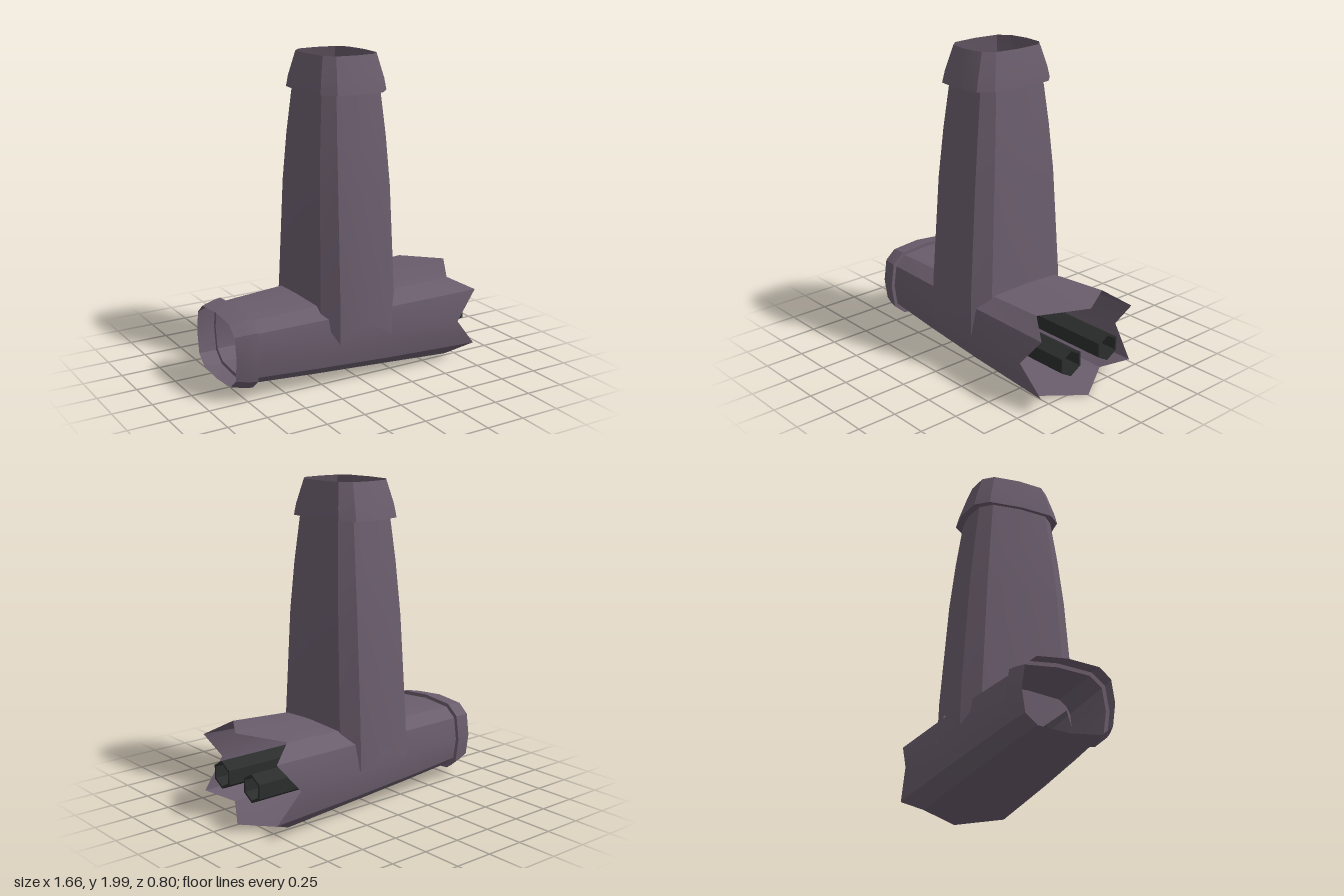
import * as THREE from 'three';
import { toCreasedNormals } from 'three/addons/utils/BufferGeometryUtils.js';

const shell = new THREE.MeshStandardMaterial({ color: 0x6a5d6c, side: THREE.DoubleSide });
shell.name = 'dusty purple shell';
const dark = new THREE.MeshStandardMaterial({ color: 0x2b2d2c, side: THREE.DoubleSide });
dark.name = 'dark pipe';

// Quarter of the unit cross-section, mirrored to twelve points
const Q = [[1, 0], [0.92, 0.68], [0.64, 0.93]];
const SECTION = [
  ...Q, [0, 1], [-0.64, 0.93], [-0.92, 0.68],
  [-1, 0], [-0.92, -0.68], [-0.64, -0.93], [0, -1], [0.64, -0.93], [0.92, -0.68],
];

// Open loft along y; rings are [height, half x, half z], heights may be one per point
function loft(name, rings) {
  const pos = [], idx = [], n = SECTION.length;
  rings.forEach(([h, b, a], j) => {
    SECTION.forEach(([x, z], i) => {
      pos.push(x * b, Array.isArray(h) ? h[i] : h, z * a);
      if (j === rings.length - 1) return;
      const p = j * n + i, q = j * n + (i + 1) % n;
      idx.push(p, p + n, q, q, p + n, q + n);
    });
  });
  const geo = new THREE.BufferGeometry();
  geo.setAttribute('position', new THREE.Float32BufferAttribute(pos, 3));
  geo.setIndex(idx);
  const mesh = new THREE.Mesh(toCreasedNormals(geo, 0.5), shell);
  mesh.name = name;
  return mesh;
}

// Hollow six-sided pipe running up y
function hexPipe(name, length) {
  const ring = (r) => Array.from({ length: 6 }, (_, i) =>
    new THREE.Vector2(r * Math.cos(i * Math.PI / 3), r * Math.sin(i * Math.PI / 3)));
  const shape = new THREE.Shape(ring(0.088));
  shape.holes.push(new THREE.Path(ring(0.073)));
  const geo = new THREE.ExtrudeGeometry(shape, { depth: length, bevelEnabled: false });
  geo.rotateX(-Math.PI / 2);
  const mesh = new THREE.Mesh(geo, dark);
  mesh.name = name;
  return mesh;
}

// Jagged broken edge: repeating heights around the section
const jag = (pattern) => SECTION.map((_, i) => pattern[i % pattern.length]);

export function createModel() {
  const model = new THREE.Group();

  // Upright branch with torn lower edge and a flared collar on top
  const upright = new THREE.Group();
  upright.name = 'uprightBranch';
  upright.add(
    loft('uprightShell', [
      [jag([0.23, 0.45, 0.29, 0.41, 0.29, 0.45]), 0.288, 0.397],
      [0.55, 0.284, 0.389],
      [1.2, 0.266, 0.34],
      [1.5, 0.247, 0.305],
      [1.78, 0.22, 0.265],
    ]),
    loft('uprightCollar', [
      [1.78, 0.22, 0.265],
      [1.78, 0.245, 0.31],
      [1.85, 0.236, 0.292],
      [2, 0.2, 0.24],
    ]),
  );

  // Lying main tube, broken at the +x end, collar at the -x end
  const main = new THREE.Group();
  main.name = 'mainTube';
  main.add(
    loft('mainShell', [
      [jag([-0.83, -0.66, -0.81, -0.66, -0.81, -0.66]), 0.283, 0.4],
      [-0.2, 0.259, 0.366],
      [0.3, 0.235, 0.327],
      [0.7, 0.213, 0.29],
    ]),
    loft('mainCollar', [
      [0.7, 0.213, 0.29],
      [0.7, 0.237, 0.313],
      [0.75, 0.231, 0.303],
      [0.83, 0.213, 0.277],
    ]),
  );
  main.rotation.z = Math.PI / 2;
  main.position.y = 0.293;

  // A pair of inner pipes in each tube
  for (const side of [-1, 1]) {
    const lying = hexPipe('innerPipe', 0.63);
    lying.position.set(-0.015, -0.83, side * 0.152);
    main.add(lying);
    const standing = hexPipe('innerPipe', 1.2);
    standing.position.set(-0.035, 0.3, side * 0.152);
    standing.rotation.z = -0.03;
    upright.add(standing);
  }

  model.add(upright, main);
  return model;
}
